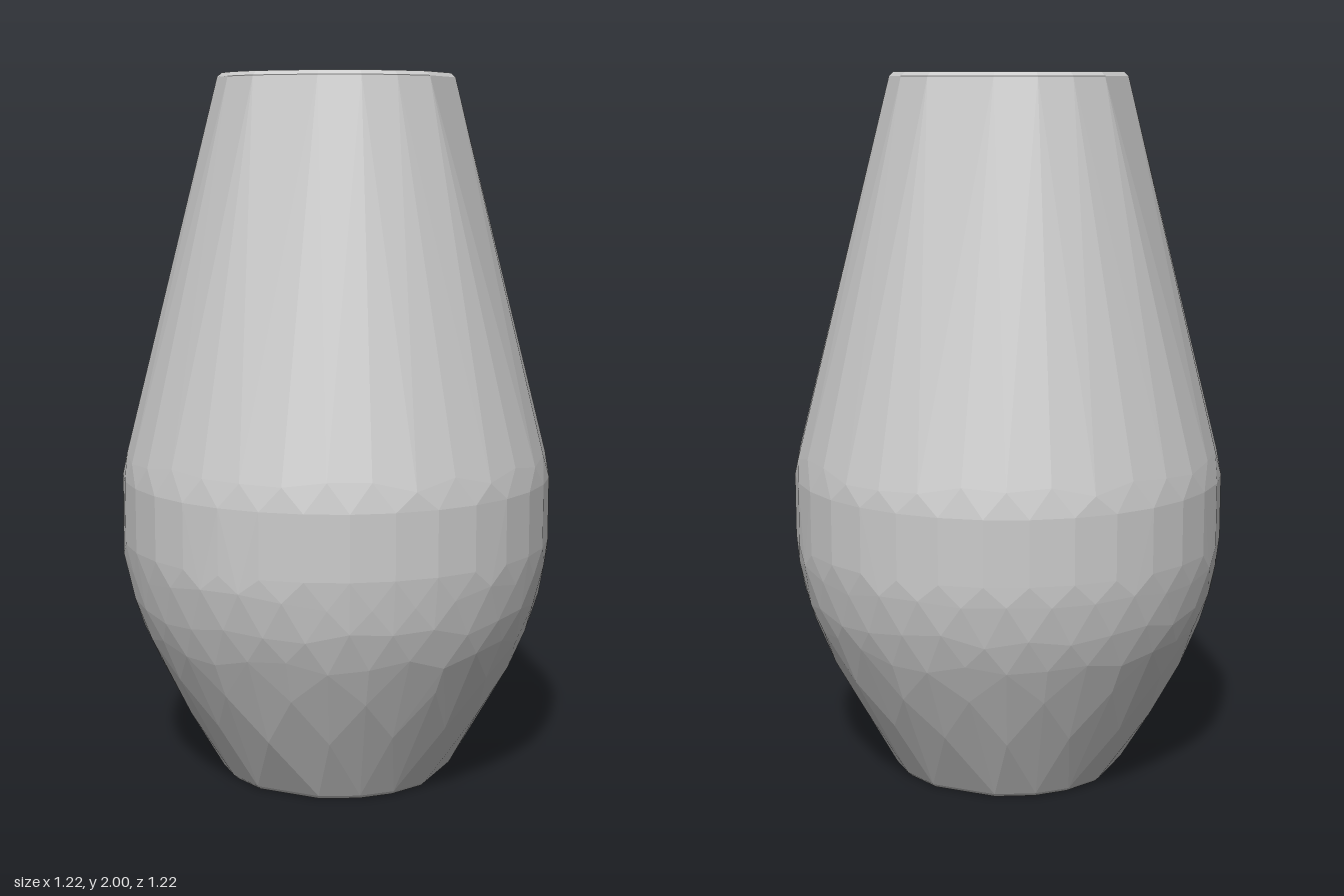
import * as THREE from 'three';
import { ConvexGeometry } from 'three/addons/geometries/ConvexGeometry.js';

// small seeded generator for the hand-cut look of the facets
function seeded(seed) {
  return () => {
    seed = (seed * 16807) % 2147483647;
    return seed / 2147483647;
  };
}

const polar = (r, a, y) => new THREE.Vector3(r * Math.sin(a), y, r * Math.cos(a));

// flat end: sixteen corners, slightly bunched towards the diagonals
function endRing(r, y) {
  const points = [];
  for (let q = 0; q < 4; q++) {
    for (const deg of [16.5, 36.3, 53.7, 73.5]) {
      points.push(polar(r, THREE.MathUtils.degToRad(deg + q * 90), y));
    }
  }
  return points;
}

export function createModel() {
  const random = seeded(41);
  const points = [
    // chamfered top and bottom ends
    ...endRing(0.322, 2), ...endRing(0.335, 1.988),
    ...endRing(0.322, 0), ...endRing(0.335, 0.012),
  ];

  // belly rings: radius, height, sides, turn in half steps, unevenness in height
  const rings = [
    [0.443, 0.2, 16, 0, 0.01],
    [0.512, 0.335, 16, 1, 0.02],
    [0.558, 0.44, 32, 0, 0.02],
    [0.588, 0.53, 32, 1, 0.02],
    [0.607, 0.63, 32, 0, 0.02],
    [0.612, 0.69, 32, 1, 0],
    [0.612, 0.87, 32, 1, 0],
    [0.601, 0.935, 32, 0, 0.015],
  ];
  const slope = 0.3;
  for (const [r, y, sides, turn, uneven] of rings) {
    for (let i = 0; i < sides; i++) {
      const dy = (random() - 0.5) * 2 * uneven;
      // keep shifted corners on the curved profile
      const dr = dy * slope * (y < 0.75 ? 1 : -1);
      points.push(polar(r + dr, ((i + turn / 2) / sides) * Math.PI * 2, y + dy));
    }
  }

  // one faceted convex skin around all rings
  const body = new THREE.Mesh(
    new ConvexGeometry(points),
    new THREE.MeshStandardMaterial({ color: 0xcccccc, flatShading: true })
  );
  body.name = 'facetedBody';

  const group = new THREE.Group();
  group.name = 'taperedVase';
  group.add(body);
  return group;
}
